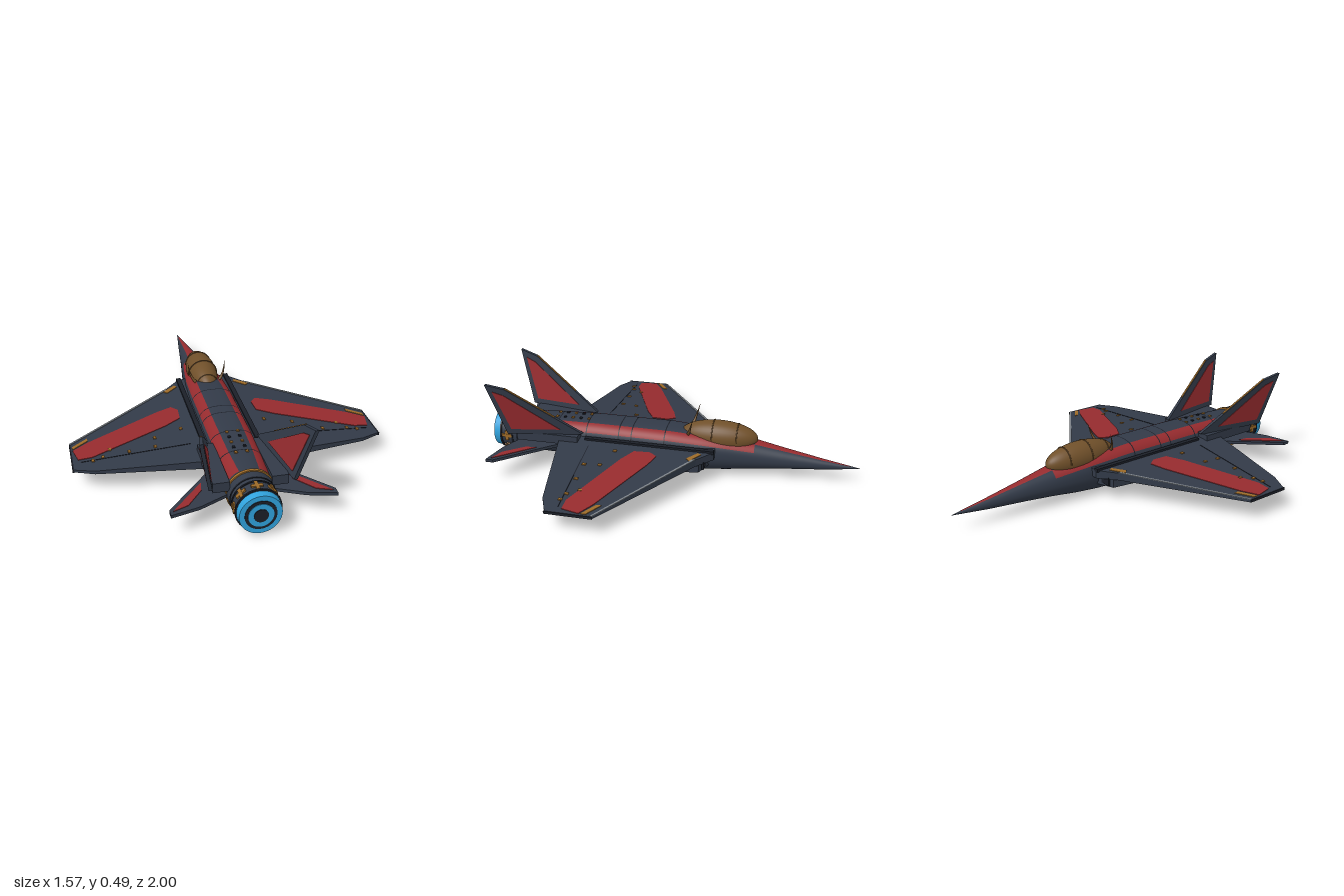
import * as THREE from 'three';

const mat = (name, color) => {
  const m = new THREE.MeshStandardMaterial({ color, side: THREE.DoubleSide });
  m.name = name;
  return m;
};

export function createModel() {
  const M = {
    hull: mat('slate hull', 0x323a48), red: mat('red trim', 0x962b2e), seam: mat('dark seam', 0x1b1f28),
    brass: mat('brass', 0x9c6a28), canopy: mat('amber canopy', 0x70502a), glow: mat('blue glow', 0x30a2dc),
    edge: mat('grey edge', 0x7c8288),
  };
  const root = new THREE.Group();
  const add = (name, geo, m, x = 0, y = 0, z = 0, parent = root) => {
    const mesh = new THREE.Mesh(geo, m);
    mesh.name = name;
    mesh.position.set(x, y, z);
    parent.add(mesh);
    return mesh;
  };
  const lerp = THREE.MathUtils.lerp;

  // Closed slab from a 2D outline; lo and hi map (u, v) to the two faces.
  const slab = (pts, lo, hi) => {
    const tris = THREE.ShapeUtils.triangulateShape(pts.map(p => new THREE.Vector2(...p)), []);
    const ccw = THREE.ShapeUtils.area(pts.map(p => new THREE.Vector2(...p))) > 0;
    const out = [];
    const A = pts.map(p => lo(...p)), B = pts.map(p => hi(...p));
    const tri = (a, b, c) => out.push([a, b, c]);
    for (const [a, b, c] of tris) { tri(B[a], B[b], B[c]); tri(A[a], A[c], A[b]); }
    pts.forEach((_, i) => {
      const j = (i + 1) % pts.length;
      const [p, q] = ccw ? [i, j] : [j, i];
      tri(A[p], A[q], B[q]); tri(A[p], B[q], B[p]);
    });
    // A negative volume means the faces point inward, so turn them
    let vol = 0;
    for (const [a, b, c] of out) vol += new THREE.Vector3().crossVectors(b.clone().sub(out[0][0]), c.clone().sub(out[0][0])).dot(a.clone().sub(out[0][0]));
    const flat = out.flatMap(([a, b, c]) => (vol < 0 ? [a, c, b] : [a, b, c]));
    const g = new THREE.BufferGeometry().setFromPoints(flat);
    g.computeVertexNormals();
    return g;
  };

  // Fuselage sections: z, half width, top, middle, bottom, squareness of the top
  const keys = [
    [-1, 0.001, 0.091, 0.09, 0.089, 2], [-0.8, 0.029, 0.125, 0.095, 0.066, 2], [-0.6, 0.055, 0.163, 0.102, 0.05, 2],
    [-0.45, 0.077, 0.192, 0.11, 0.035, 2.1], [-0.3, 0.1, 0.212, 0.118, 0.016, 2.4], [-0.18, 0.113, 0.224, 0.12, 0.006, 2.7],
    [0, 0.119, 0.236, 0.12, 0, 2.8], [0.4, 0.119, 0.236, 0.12, 0.004, 2.8], [0.6, 0.117, 0.231, 0.12, 0.01, 2.6],
    [0.82, 0.112, 0.226, 0.12, 0.014, 2],
  ];
  const sectionAt = z => {
    let i = 0;
    while (i < keys.length - 2 && z > keys[i + 1][0]) i++;
    const t = (z - keys[i][0]) / (keys[i + 1][0] - keys[i][0]);
    return keys[i].map((v, k) => lerp(v, keys[i + 1][k], t));
  };
  const seams = [0.02, 0.2, 0.27, 0.45, 0.62];
  const stations = [...keys.map(k => k[0]), -0.9, -0.7, -0.95, 0.78, ...seams.flatMap(s => [s, s + 0.006])].sort((a, b) => a - b);
  const N = 60, pos = [], faces = [[], [], []];
  for (const z of stations) {
    const [, w, top, mid, bot, n] = sectionAt(z);
    for (let i = 0; i < N; i++) {
      const a = i / N * Math.PI * 2, s = Math.sin(a), c = Math.cos(a), e = 2 / (c > 0 ? n : 2);
      pos.push(w * Math.sign(s) * Math.abs(s) ** e, mid + (c > 0 ? top - mid : mid - bot) * Math.sign(c) * Math.abs(c) ** e, z);
    }
  }
  for (let k = 0; k < stations.length - 1; k++) {
    const z = (stations[k] + stations[k + 1]) / 2;
    for (let i = 0; i < N; i++) {
      const d = Math.min(i, N - 1 - i), j = (i + 1) % N;
      const stripe = z < -0.95 ? false : z < -0.45 ? d < 4 : z < 0.78 && d >= 4 && d < 10;
      const seam = d < 15 && seams.some(s => z > s && z < s + 0.006);
      const a = k * N + i, b = k * N + j;
      faces[seam ? 2 : stripe ? 1 : 0].push(a, a + N, b, b, a + N, b + N);
    }
  }
  const body = new THREE.BufferGeometry();
  body.setAttribute('position', new THREE.Float32BufferAttribute(pos, 3));
  body.setIndex(faces.flat());
  let start = 0;
  faces.forEach((f, i) => { body.addGroup(start, f.length, i); start += f.length; });
  // Winding runs clockwise round the section, so swap it to face outward
  const idx = body.index.array, p = i => new THREE.Vector3().fromBufferAttribute(body.attributes.position, i);
  const q = [N * 4 + 15, N * 5 + 15, N * 4 + 16].map(p);
  if (q[1].sub(q[0]).cross(q[2].sub(q[0])).x < 0) for (let i = 0; i < idx.length; i += 3) [idx[i], idx[i + 1]] = [idx[i + 1], idx[i]];
  body.computeVertexNormals();
  add('fuselage', body, [M.hull, M.red, M.seam]);

  // Canopy with frame hoops
  const dome = new THREE.SphereGeometry(1, 40, 24).rotateX(Math.PI / 2).scale(0.08, 0.083, 0.207);
  add('canopy', dome, M.canopy, 0, 0.202, -0.255);
  for (const d of [-0.1, 0.03, 0.15]) {
    const k = Math.sqrt(1 - (d / 0.207) ** 2);
    add('canopyFrame', new THREE.TorusGeometry(0.0815 * k, 0.003, 6, 32, Math.PI), M.canopy, 0, 0.202, -0.255 + d).scale.y = 1.03;
  }

  // Engine nozzle, bands and concentric exhaust rings
  const ringZ = (r0, r1, z0, z1) => new THREE.CylinderGeometry(r1, r0, z1 - z0, 48).rotateX(Math.PI / 2).translate(0, 0.12, (z0 + z1) / 2);
  add('nozzle', ringZ(0.11, 0.102, 0.8, 0.96), M.hull);
  add('brassCollar', ringZ(0.116, 0.116, 0.795, 0.81), M.brass);
  for (const z of [0.85, 0.88, 0.945]) add('nozzleBand', ringZ(0.11, 0.11, z, z + 0.009), M.seam);
  add('exhaustRim', ringZ(0.104, 0.1, 0.956, 0.99), M.glow);
  [[0.1, 'glow'], [0.075, 'seam'], [0.06, 'glow'], [0.034, 'seam']].forEach(([r, m], i) =>
    add('exhaustRing', ringZ(r, r, 0.98, 0.991 + i * 0.003), M[m]));
  for (let i = 0; i < 8; i++) {
    const g = new THREE.Group();
    g.name = 'nozzleMark';
    g.position.set(0, 0.12, 0.915);
    g.rotation.z = i * Math.PI / 4;
    add('markBar', new THREE.BoxGeometry(0.055, 0.008, 0.018), M.brass, 0, 0.105, 0, g);
    add('markTick', new THREE.BoxGeometry(0.017, 0.008, 0.056), M.brass, 0, 0.106, 0, g);
    root.add(g);
  }

  // Outlines: wings and tailplanes in (x, z), fins in (z, y)
  const wing = [[0.08, -0.25], [0.135, -0.25], [0.22, -0.17], [0.78, 0.21], [0.78, 0.445], [0.68, 0.49], [0.15, 0.59], [0.08, 0.59]];
  const wingRed = [[0.31, 0.06], [0.23, 0.035], [0.2, 0.075], [0.205, 0.16], [0.29, 0.21], [0.68, 0.37], [0.75, 0.37], [0.77, 0.28], [0.69, 0.23]];
  const wingBrass = [[[0.69, 0.19], [0.77, 0.245], [0.77, 0.27], [0.69, 0.215]], [[0.17, -0.19], [0.24, -0.14], [0.22, -0.12], [0.16, -0.17]]];
  const slat = [[0.22, -0.17], [0.78, 0.21], [0.78, 0.222], [0.22, -0.155]];
  const tail = [[0.08, 0.55], [0.13, 0.58], [0.2, 0.66], [0.39, 0.875], [0.39, 0.915], [0.25, 0.88], [0.08, 0.8]];
  const tailRed = [[0.375, 0.89], [0.35, 0.86], [0.21, 0.7], [0.22, 0.76], [0.3, 0.86]];
  const fin = [[0.46, 0.2], [0.84, 0.465], [0.94, 0.49], [0.86, 0.19], [0.5, 0.19]];
  const finRed = [[0.575, 0.225], [0.85, 0.43], [0.905, 0.45], [0.835, 0.22]];
  const wingTop = x => 0.17 - (x - 0.1) * 0.083;
  const wingLow = x => 0.125 - (x - 0.1) * 0.036;

  for (const s of [1, -1]) {
    const side = new THREE.Group();
    side.name = s > 0 ? 'leftSide' : 'rightSide';
    root.add(side);
    const put = (name, g, m, x = 0, y = 0, z = 0) => add(name, g, m, s * x, y, z, side);
    const box = (name, m, w, h, d, x, y, z) => put(name, new THREE.BoxGeometry(w, h, d), m, x, y, z);
    const V = (x, y, z) => new THREE.Vector3(s * x, y, z);

    // Wing and its painted panels
    const onWing = (x, z, h) => V(x, wingTop(x) + h, z);
    const decal = (name, pts, m, h = 0.003) => put(name, slab(pts, (x, z) => onWing(x, z, -0.002), (x, z) => onWing(x, z, h)), m);
    put('wing', slab(wing, (x, z) => V(x, wingLow(x), z), (x, z) => V(x, wingTop(x), z)), M.hull);
    decal('wingPanel', wingRed, M.red);
    decal('wingSlat', slat, M.edge);
    wingBrass.forEach(b => decal('wingBrassStrip', b, M.brass));
    decal('flapSeam', [[0.2, 0.41], [0.74, 0.39], [0.74, 0.394], [0.2, 0.414]], M.seam, 0.002);
    for (const [x, z] of [[0.22, 0.26], [0.36, 0.3], [0.59, 0.33], [0.37, 0.38], [0.5, 0.38], [0.63, 0.385], [0.68, 0.4]])
      decal('wingStud', [[x - 0.007, z - 0.01], [x + 0.007, z - 0.01], [x + 0.007, z + 0.01], [x - 0.007, z + 0.01]], M.brass, 0.005);
    box('wingTipRail', M.seam, 0.008, 0.014, 0.24, 0.78, 0.107, 0.33);
    box('rootStrake', M.seam, 0.025, 0.018, 0.7, 0.135, 0.168, 0.1);

    // Intake under the wing root, narrowing rearward
    put('intake', slab([[0.09, -0.22], [0.19, -0.18], [0.21, -0.05], [0.18, 0.15], [0.09, 0.3]],
      (x, z) => V(x, 0.07 + Math.max(0, z) * 0.1, z), x => 0 || V(x, 0.15, 0)).dispose() || slab(
      [[0.09, -0.22], [0.19, -0.18], [0.21, -0.05], [0.18, 0.15], [0.09, 0.3]],
      (x, z) => V(x, 0.07 + Math.max(0, z) * 0.1, z), (x, z) => V(x, 0.145, z)), M.hull);
    box('intakeMouth', M.seam, 0.07, 0.045, 0.01, 0.15, 0.107, -0.202);

    // Underwing pod
    box('pylon', M.hull, 0.008, 0.04, 0.07, 0.62, 0.09, 0.3);
    box('podArm', M.hull, 0.075, 0.008, 0.03, 0.59, 0.085, 0.3);
    put('pod', new THREE.CapsuleGeometry(0.013, 0.08, 6, 14).rotateX(Math.PI / 2), M.hull, 0.62, 0.064, 0.3);

    // Tailplane
    put('tailplane', slab(tail, (x, z) => V(x, 0.108, z), (x, z) => V(x, 0.124, z)), M.hull);
    put('tailplanePanel', slab(tailRed, (x, z) => V(x, 0.122, z), (x, z) => V(x, 0.127, z)), M.red);

    // Canted fin with a panel on both faces
    const finAt = d => (z, y) => V(0.14 + (z - 0.48) * 0.16 + (y - 0.2) * 0.15 + d, y, z);
    put('fin', slab(fin, finAt(-0.009), finAt(0.009)), M.hull);
    put('finPanelOuter', slab(finRed, finAt(0.007), finAt(0.012)), M.red);
    put('finPanelInner', slab(finRed, finAt(-0.012), finAt(-0.007)), M.red);
    put('finEdge', slab([[0.6, 0.2975], [0.84, 0.465], [0.84, 0.469], [0.6, 0.3015]], finAt(-0.005), finAt(0.005)), M.brass);
    box('finFoot', M.hull, 0.08, 0.05, 0.34, 0.14, 0.17, 0.65);

    // Whisker aerial beside the canopy
    const bend = new THREE.QuadraticBezierCurve3(V(0.065, 0.225, -0.1), V(0.095, 0.25, -0.11), V(0.102, 0.325, -0.13));
    const tube = new THREE.TubeGeometry(bend, 10, 0.009, 8);
    const tp = tube.attributes.position;
    for (let i = 0; i < tp.count; i++) {
      const t = Math.floor(i / 9) / 10, c = bend.getPointAt(t), v = new THREE.Vector3().fromBufferAttribute(tp, i);
      v.lerp(c, t * 0.95);
      tp.setXYZ(i, v.x, v.y, v.z);
    }
    put('aerial', tube, M.canopy);

    // Spine studs
    for (let i = 0; i < 5; i++) box('spineStud', i % 2 ? M.seam : M.brass, 0.014, 0.008, 0.014, 0.027, 0.235 - i * 0.001, 0.46 + i * 0.045);
  }
  return root;
}
